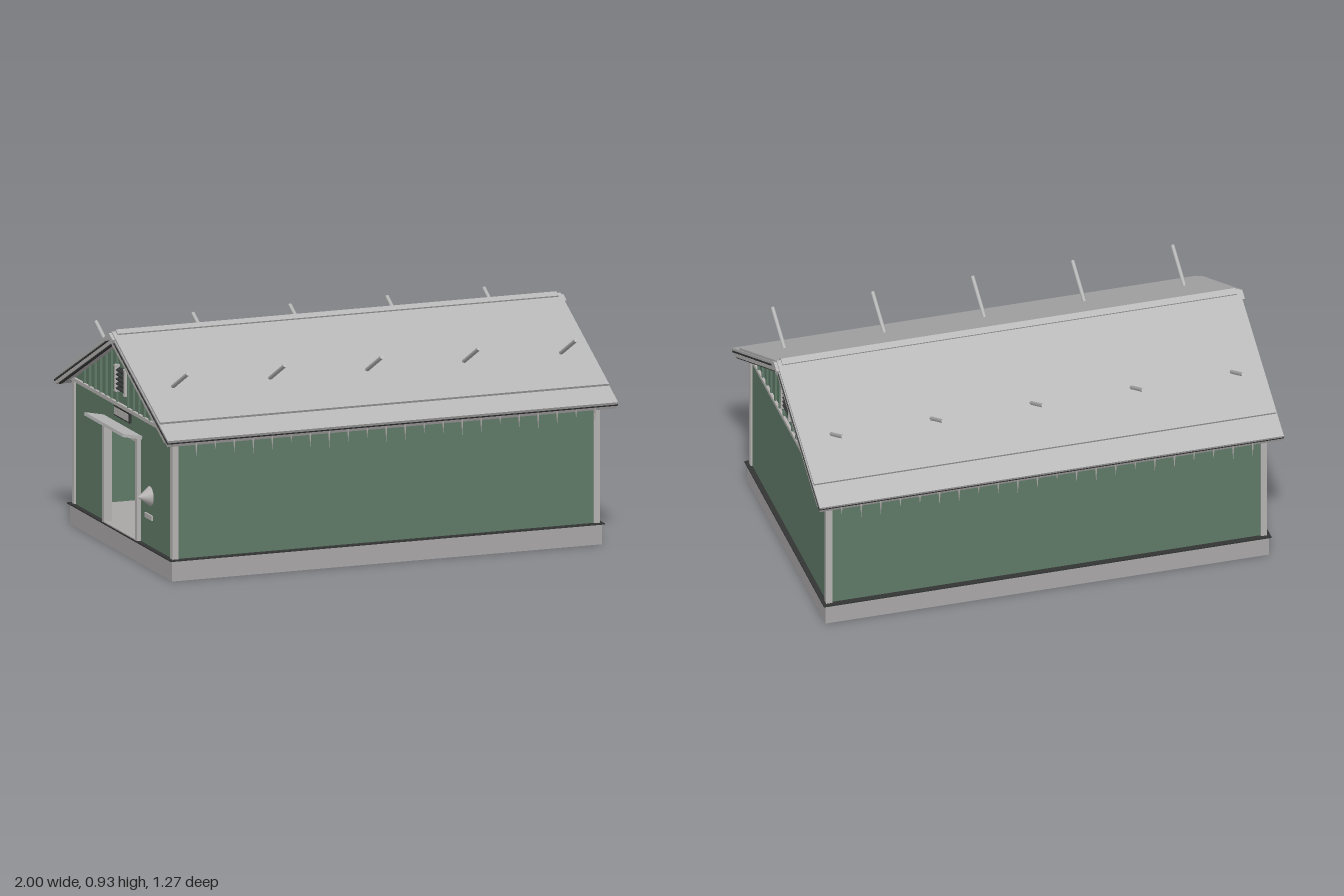
import * as THREE from 'three';

export function createModel() {
  const root = new THREE.Group();
  root.name = 'lodge';
  const g = new THREE.Group();
  g.name = 'building';
  g.position.x = 0.0085;
  root.add(g);

  const mat = (name, color) => {
    const m = new THREE.MeshStandardMaterial({ color });
    m.name = name;
    return m;
  };
  const green = mat('green siding', 0x5f7a67);
  const roofGrey = mat('roof metal', 0xb4b4b4);
  const trim = mat('trim grey', 0xb6b2b2);
  const stone = mat('foundation grey', 0xa9a6a6);
  const dark = mat('dark metal', 0x333534);

  const add = (name, geo, m, x = 0, y = 0, z = 0) => {
    const mesh = new THREE.Mesh(geo, m);
    mesh.name = name;
    mesh.position.set(x, y, z);
    g.add(mesh);
    return mesh;
  };
  const box = (name, m, w, h, d, x, y, z) => add(name, new THREE.BoxGeometry(w, h, d), m, x, y, z);

  // Extrudes a z/y outline along x, centred on x = 0
  const alongX = (pts, length, hole) => {
    const s = new THREE.Shape(pts.map(p => new THREE.Vector2(...p)));
    if (hole) s.holes.push(new THREE.Path(hole.map(p => new THREE.Vector2(...p))));
    const geo = new THREE.ExtrudeGeometry(s, { depth: length, bevelEnabled: false });
    geo.translate(0, 0, -length / 2);
    return geo.rotateY(-Math.PI / 2);
  };
  const SLOPE = 0.489;
  // Inverted V band: top height at the ridge, half span, vertical thickness
  const chevron = (top, span, t, length) => alongX([
    [0, top], [-span, top - SLOPE * span], [-span + 0.4 * t, top - t - SLOPE * (span - 0.4 * t)],
    [0, top - t], [span - 0.4 * t, top - t - SLOPE * (span - 0.4 * t)], [span, top - SLOPE * span],
  ], length);

  // Foundation ring, floor and flashing
  for (const s of [-1, 1]) {
    box('foundationSide', stone, 1.868, 0.083, 0.03, 0, 0.0415, s * 0.552);
    box('foundationEnd', stone, 0.03, 0.083, 1.074, s * 0.919, 0.0415, 0);
    box('flashingSide', dark, 1.886, 0.005, 0.03, 0, 0.0855, s * 0.56);
    box('flashingEnd', dark, 0.03, 0.005, 1.15, s * 0.928, 0.0855, 0);
  }
  box('floor', stone, 1.81, 0.045, 1.076, 0, 0.06, 0);

  // Walls, with a doorway in one end
  const doorway = [[-0.18, 0.088], [-0.18, 0.5], [0.17, 0.5], [0.17, 0.088]];
  const endOutline = [[-0.55, 0.083], [0.55, 0.083], [0.55, 0.606], [0, 0.876], [-0.55, 0.606]];
  for (const s of [-1, 1]) {
    box('sideWall', green, 1.82, 0.52, 0.02, 0, 0.343, s * 0.54);
    add('endWall', alongX(endOutline, 0.02, s < 0 ? doorway : null), green, s * 0.912);
    box('gableTrim', trim, 0.015, 0.015, 1.12, s * 0.926, 0.606, 0);
    for (const t of [-1, 1]) {
      box('cornerBoard', trim, 0.026, 0.515, 0.026, s * 0.916, 0.343, t * 0.545);
    }

    // Gable battens
    for (let i = -7; i <= 7; i++) {
      const z = i * 0.0608, top = 0.874 - SLOPE * Math.abs(z);
      if (i) box('batten', green, 0.012, top - 0.61, 0.009, s * 0.925, (top + 0.61) / 2, z);
    }

    // Louvred gable vent
    for (const t of [-1, 1]) {
      box('ventPost', trim, 0.022, 0.1, 0.012, s * 0.931, 0.715, t * 0.053);
      for (const y of [0.663, 0.767]) box('ventPostCap', trim, 0.022, 0.008, 0.02, s * 0.931, y, t * 0.051);
    }
    for (let i = 0; i < 5; i++) {
      const slat = box('louvre', dark, 0.022, 0.006, 0.1, s * 0.928, 0.677 + i * 0.019, 0);
      slat.rotation.z = -s * 0.5;
    }
  }

  // Roof layers
  add('roofDeck', chevron(0.905, 0.632, 0.03, 1.95), trim);
  add('roofEdgeLine', chevron(0.897, 0.629, 0.007, 1.958), dark);
  add('eaveSheet', chevron(0.91, 0.634, 0.009, 1.956), roofGrey);
  add('upperSheet', chevron(0.921, 0.54, 0.012, 1.95), roofGrey);
  add('ridgeCap', chevron(0.928, 0.026, 0.012, 1.915), roofGrey);
  for (const s of [-1, 1]) {
    add('rakeBoard', chevron(0.888, 0.6, 0.016, 0.014), trim, s * 0.971);
    add('rakeLine', chevron(0.874, 0.59, 0.008, 0.012), dark, s * 0.968);
    add('ridgeEnd', chevron(0.915, 0.04, 0.025, 0.02), roofGrey, s * 0.977);
  }

  // Slanted roof poles
  const poleGeo = new THREE.CylinderGeometry(0.0085, 0.0085, 0.2, 8);
  for (const s of [-1, 1]) {
    for (let i = -2; i <= 2; i++) {
      add('roofPole', poleGeo, roofGrey, i * 0.4215, 0.796, s * 0.422).rotation.x = s * 1.087;
    }
  }

  // Icicles under both eaves
  for (const s of [-1, 1]) {
    for (let i = 0; i < 22; i++) {
      const len = 0.03 + 0.04 * Math.abs(Math.sin(i * 2.3 + s));
      const geo = new THREE.ConeGeometry(0.005, len, 6).rotateX(Math.PI);
      add('icicle', geo, trim, -0.85 + i * 0.0825, 0.582 - len / 2, s * 0.621);
    }
  }

  // Door frame, canopy and sign board
  for (const z of [-0.188, 0.178]) box('doorJamb', trim, 0.035, 0.425, 0.022, -0.922, 0.298, z);
  box('doorHead', trim, 0.035, 0.022, 0.388, -0.922, 0.508, -0.005);
  box('threshold', stone, 0.035, 0.008, 0.35, -0.922, 0.088, -0.005);
  box('canopy', roofGrey, 0.085, 0.013, 0.43, -0.966, 0.528, -0.005).rotation.z = -0.2;
  box('signFrame', dark, 0.01, 0.042, 0.17, -0.926, 0.574, 0);
  box('signPanel', trim, 0.008, 0.03, 0.156, -0.929, 0.574, 0);

  // Wall lamp and small plate beside the door
  add('wallLamp', new THREE.ConeGeometry(0.042, 0.055, 16).rotateZ(Math.PI / 2), trim, -0.949, 0.295, 0.29);
  box('wallPlate', trim, 0.008, 0.02, 0.08, -0.925, 0.21, 0.285);

  return root;
}
